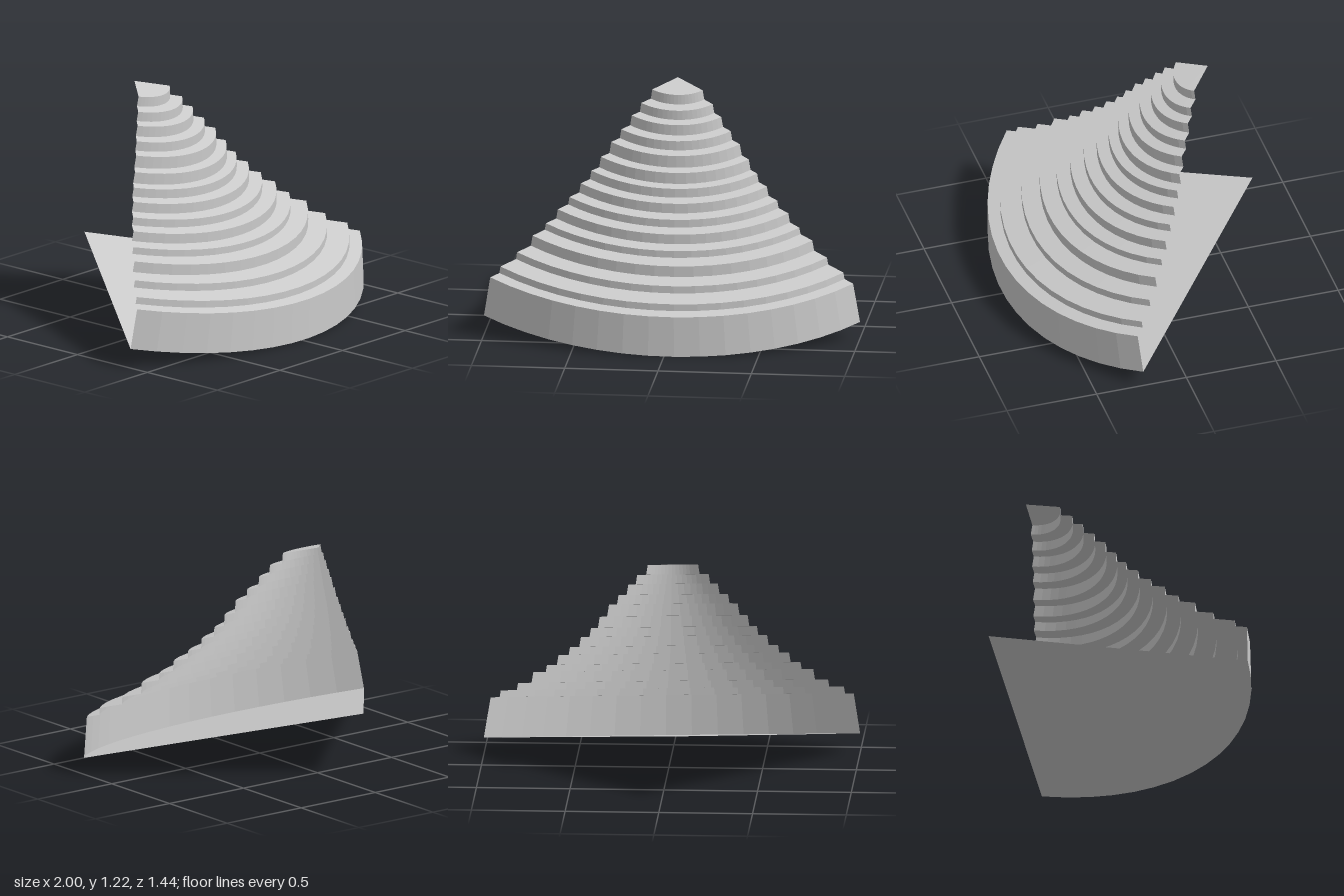
import * as THREE from 'three';

// Tilted fan: edge vectors of the sector at radius 1, and its opening angle
const LEFT = new THREE.Vector3(-0.86, -0.245, 1.1);
const RIGHT = new THREE.Vector3(1.14, -0.26, 0.96);
const ANGLE = THREE.MathUtils.degToRad(88);
const SEGMENTS = 16;

// Direction in which the risers climb, and how much they narrow per unit height
const CLIMB = new THREE.Vector3(0.024, 1, 0.26);
const TAPER = 0.165;

// Outer radius and centre height of each tread, from the bottom up
const STEPS = [
  [0.965, 0.56], [0.912, 0.595], [0.824, 0.632], [0.744, 0.687], [0.674, 0.722],
  [0.613, 0.772], [0.553, 0.812], [0.495, 0.862], [0.441, 0.908], [0.393, 0.965],
  [0.342, 1.026], [0.291, 1.074], [0.238, 1.128], [0.19, 1.176], [0.134, 1.226],
];

const material = new THREE.MeshStandardMaterial({
  color: 0xcccccc, flatShading: true, side: THREE.DoubleSide,
});

// Arc of the fan around a centre
function arc(center, radius) {
  const points = [];
  for (let i = 0; i <= SEGMENTS; i++) {
    const a = (i / SEGMENTS) * ANGLE;
    points.push(center.clone()
      .addScaledVector(LEFT, radius * Math.sin(ANGLE - a) / Math.sin(ANGLE))
      .addScaledVector(RIGHT, radius * Math.sin(a) / Math.sin(ANGLE)));
  }
  return points;
}

// Surface between two arcs; an arc of radius 0 closes to a point
function strip(name, a, b) {
  const corners = [];
  for (let i = 0; i < SEGMENTS; i++) {
    for (const tri of [[a[i], a[i + 1], b[i + 1]], [a[i], b[i + 1], b[i]]]) {
      const area = new THREE.Triangle(...tri).getArea();
      if (area > 1e-9) corners.push(...tri);
    }
  }
  const geometry = new THREE.BufferGeometry().setFromPoints(corners);
  geometry.computeVertexNormals();
  const mesh = new THREE.Mesh(geometry, material);
  mesh.name = name;
  return mesh;
}

// Centres drift slightly forward as the steps rise
function centerAt(height) {
  const h = height - 0.56;
  return new THREE.Vector3(-0.135 + 0.117 * h, height, -0.666 + 0.323 * h);
}

export function createModel() {
  const group = new THREE.Group();
  group.name = 'steppedFan';

  // Flat floor and the tall outer wall
  const floorCenter = new THREE.Vector3(-0.14, 0.353, -0.72);
  const floorEdge = arc(floorCenter, 1);
  group.add(strip('floor', arc(floorCenter, 0), floorEdge));
  let edge = arc(centerAt(STEPS[0][1]), STEPS[0][0]);
  group.add(strip('outerWall', floorEdge, edge));

  // Tread then riser for each further step
  for (let i = 1; i < STEPS.length; i++) {
    const [radius, height] = STEPS[i];
    const rise = height - STEPS[i - 1][1];
    const top = centerAt(height);
    const foot = arc(top.clone().addScaledVector(CLIMB, -rise), radius + TAPER * rise);
    const next = arc(top, radius);
    group.add(strip('tread' + i, edge, foot), strip('riser' + i, foot, next));
    edge = next;
  }

  // Small top platform
  const apex = new THREE.Vector3(-0.05, 1.226, -0.443);
  group.add(strip('topPlatform', edge, arc(apex, 0)));
  return group;
}
